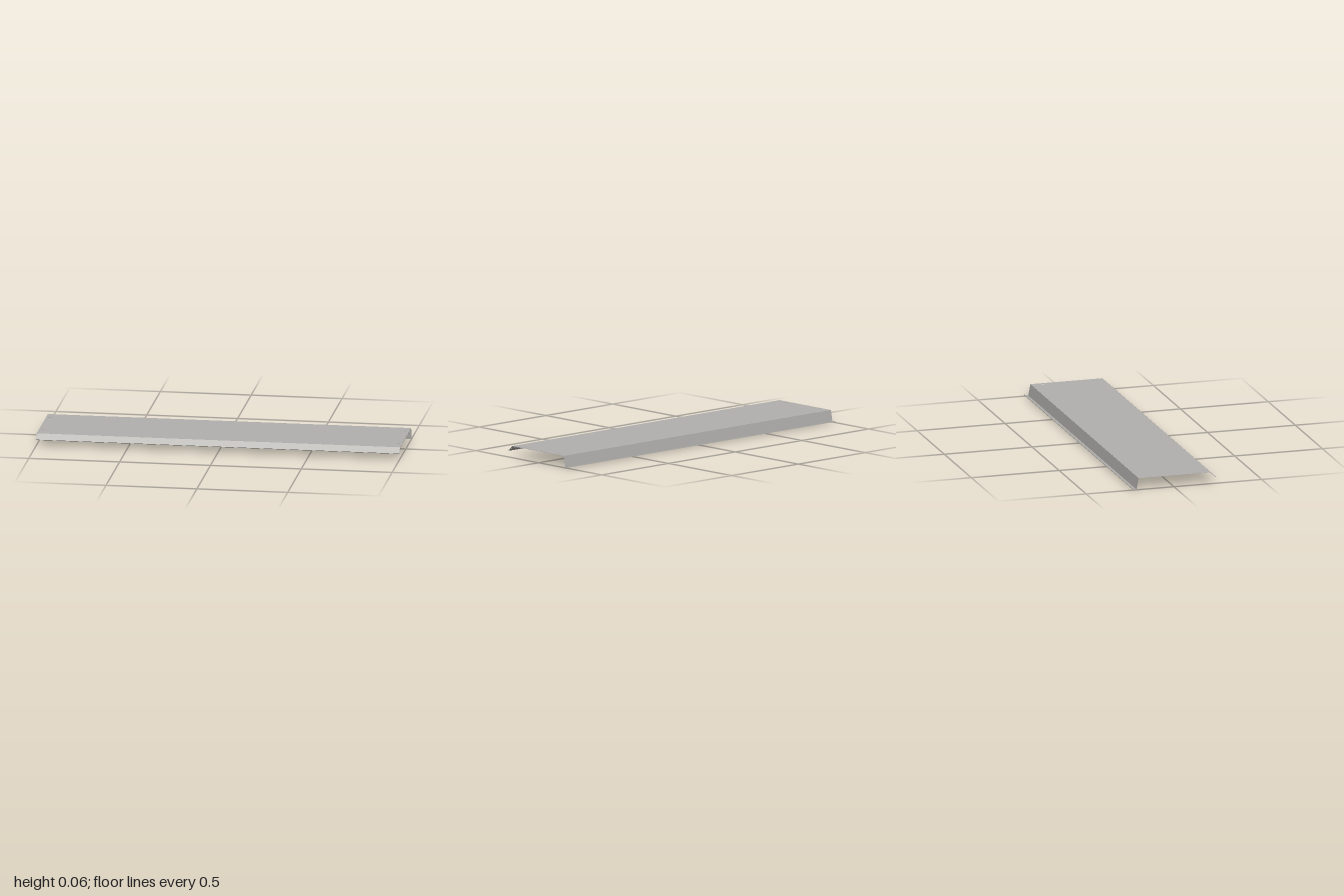
import * as THREE from 'three';

const LENGTH = 2, T = 0.0014, TOP = 0.065;

// Closed outline around an open [z, y] path, with mitred corners
function ribbon(path, t) {
  const pts = path.map(([z, y]) => new THREE.Vector2(-z, y));
  const left = [], right = [];
  pts.forEach((p, i) => {
    const a = pts[Math.max(i - 1, 0)], b = pts[Math.min(i + 1, pts.length - 1)];
    const d1 = (i > 0 ? p.clone().sub(a) : b.clone().sub(p)).normalize();
    const d2 = (i < pts.length - 1 ? b.clone().sub(p) : d1.clone()).normalize();
    const n1 = new THREE.Vector2(-d1.y, d1.x), n2 = new THREE.Vector2(-d2.y, d2.x);
    const n = n1.clone().add(n2).normalize();
    n.multiplyScalar(t / 2 / n.dot(n1));
    left.push(p.clone().add(n));
    right.unshift(p.clone().sub(n));
  });
  return new THREE.Shape([...left, ...right]);
}

export function createModel() {
  const model = new THREE.Group();
  model.name = 'foldedSheetPanel';
  const steel = new THREE.MeshStandardMaterial({ color: 0xb3b1ae });
  steel.name = 'sheet steel grey';

  const add = (name, geometry) => {
    const mesh = new THREE.Mesh(geometry, steel);
    mesh.name = name;
    model.add(mesh);
  };

  // Flat deck with a screw hole near each corner
  const front = 0.208, back = -0.201;
  const deck = new THREE.Shape([
    new THREE.Vector2(-LENGTH / 2, -front), new THREE.Vector2(LENGTH / 2, -front),
    new THREE.Vector2(LENGTH / 2, -back), new THREE.Vector2(-LENGTH / 2, -back),
  ]);
  for (const x of [-0.979, 0.979]) {
    for (const z of [-0.135, 0.135]) {
      deck.holes.push(new THREE.Path().absarc(x, z, 0.006, 0, Math.PI * 2, true));
    }
  }
  const deckGeometry = new THREE.ExtrudeGeometry(deck, { depth: T, bevelEnabled: false, curveSegments: 16 });
  deckGeometry.rotateX(-Math.PI / 2).translate(0, TOP - T, 0);
  add('deck', deckGeometry);

  // Bent edges, each ending in a hem folded back on itself
  const mid = TOP - T / 2;
  const edges = {
    frontFlange: [[front, mid], [0.238, 0.037], [0.2367, 0.0355], [0.2203, 0.0502]],
    backFlange: [[back, mid], [-0.2125, 0.0009], [-0.236, 0.0057], [-0.2356, 0.0077], [-0.2199, 0.0045]],
  };
  for (const [name, path] of Object.entries(edges)) {
    const geometry = new THREE.ExtrudeGeometry(ribbon(path, T), { depth: LENGTH, bevelEnabled: false });
    geometry.translate(0, 0, -LENGTH / 2).rotateY(Math.PI / 2);
    add(name, geometry);
  }
  return model;
}
